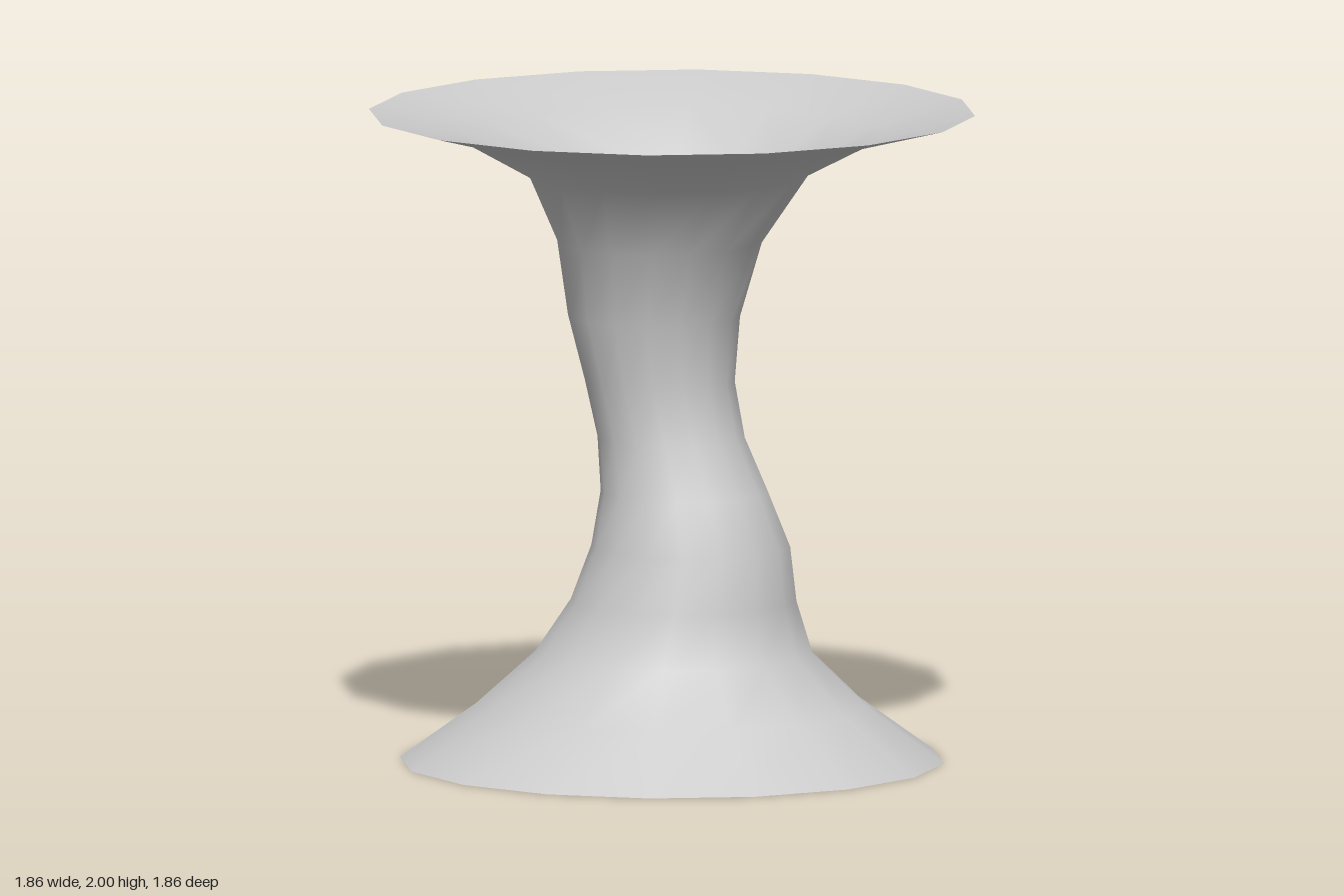
import * as THREE from 'three';

const SIDES = 16;

// Cross-sections from bottom to top: [height, radius, centre x, centre z]
const RINGS = [
  [0, 0.835, 0, 0],
  [0.17, 0.6, 0, 0],
  [0.335, 0.425, 0.01, 0.005],
  [0.5, 0.346, 0.047, 0.013],
  [0.67, 0.305, 0.075, 0.02],
  [0.835, 0.257, 0.048, 0.01],
  [1.0, 0.226, 0, 0.006],
  [1.17, 0.23, -0.041, 0.002],
  [1.37, 0.264, -0.061, 0.002],
  [1.6, 0.314, -0.042, 0.002],
  [1.81, 0.43, -0.012, 0.005],
  [1.93, 0.655, 0, 0.002],
  [2.0, 0.93, 0, 0],
];

// Skin a stack of circular rings with shared vertices, open at both ends
function loftRings(rings, sides) {
  const positions = [];
  const indices = [];
  rings.forEach(([y, r, cx, cz], i) => {
    for (let j = 0; j < sides; j++) {
      const a = (j / sides) * Math.PI * 2;
      positions.push(cx + r * Math.sin(a), y, cz + r * Math.cos(a));
      if (i === rings.length - 1) continue;
      const p = i * sides + j;
      const q = i * sides + ((j + 1) % sides);
      indices.push(p, q, q + sides, p, q + sides, p + sides);
    }
  });
  const geometry = new THREE.BufferGeometry();
  geometry.setAttribute('position', new THREE.Float32BufferAttribute(positions, 3));
  geometry.setIndex(indices);
  geometry.computeVertexNormals();
  return geometry;
}

export function createModel() {
  const group = new THREE.Group();
  group.name = 'flaredTunnel';

  // Thin open funnel with a gently winding throat
  const material = new THREE.MeshStandardMaterial({ color: 0xcccccc, side: THREE.DoubleSide });
  const shell = new THREE.Mesh(loftRings(RINGS, SIDES), material);
  shell.name = 'tunnelShell';
  group.add(shell);

  return group;
}
